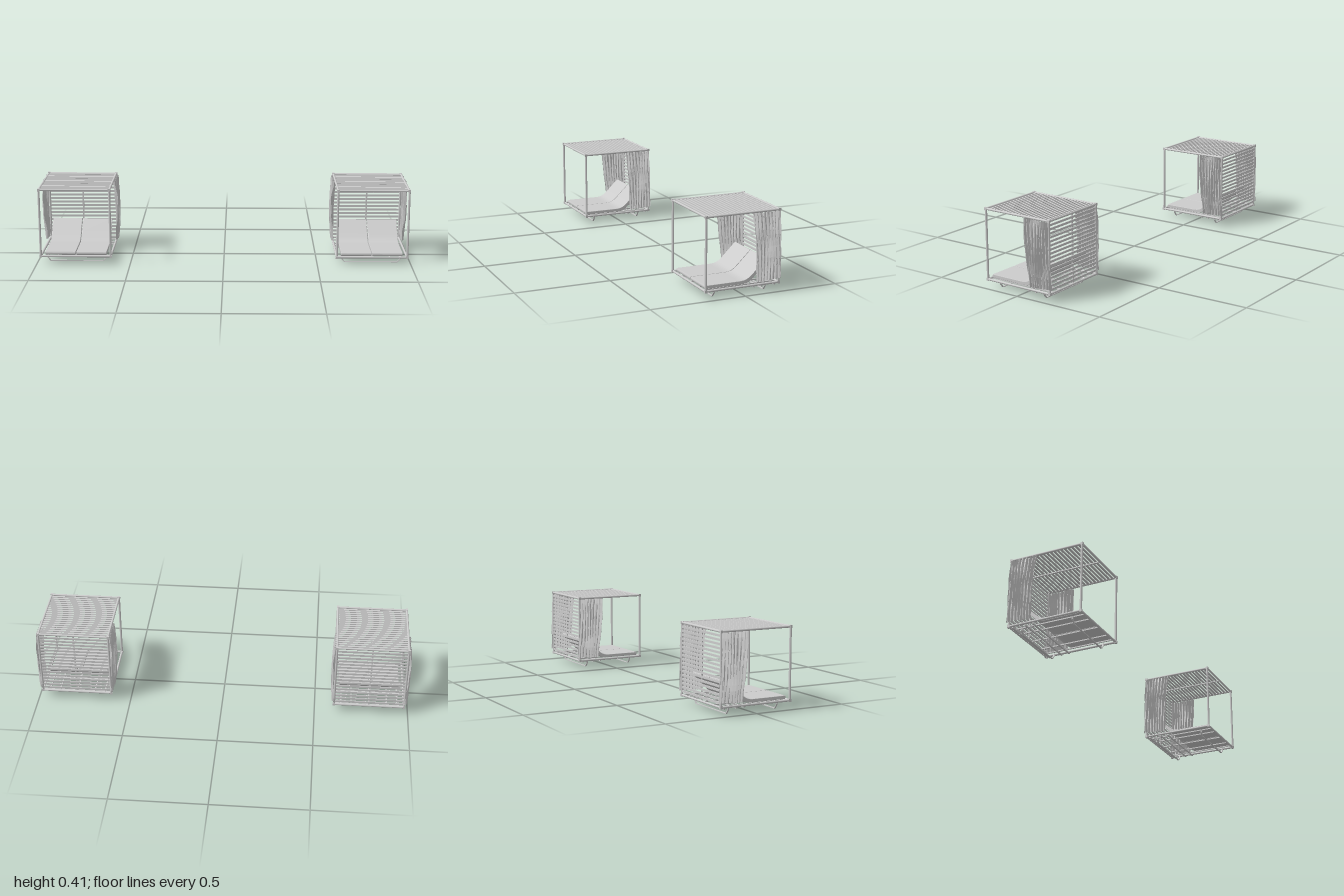
import * as THREE from 'three';

const grey = new THREE.MeshStandardMaterial({ color: 0xcccccc });
const cloth = new THREE.MeshStandardMaterial({ color: 0xcccccc, flatShading: true, side: THREE.DoubleSide });

// Cabin extents (local x, world y and z)
const X = 0.187, Y0 = 0.043, Y1 = 0.407, Z0 = -0.189, Z1 = 0.203;
const R = 0.006;

function add(parent, name, geometry, x = 0, y = 0, z = 0, material = grey) {
  const mesh = new THREE.Mesh(geometry, material);
  mesh.name = name;
  mesh.position.set(x, y, z);
  parent.add(mesh);
  return mesh;
}

function box(parent, name, w, h, d, x, y, z) {
  return add(parent, name, new THREE.BoxGeometry(w, h, d), x, y, z);
}

// Round tube between two points
function rod(parent, name, a, b, radius = R) {
  const from = new THREE.Vector3(...a), to = new THREE.Vector3(...b);
  const dir = to.clone().sub(from);
  const mesh = add(parent, name, new THREE.CylinderGeometry(radius, radius, dir.length(), 12));
  mesh.position.copy(from).lerp(to, 0.5);
  mesh.quaternion.setFromUnitVectors(new THREE.Vector3(0, 1, 0), dir.normalize());
}

function buildFrame() {
  const frame = new THREE.Group();
  frame.name = 'frame';
  for (const x of [-X, X]) {
    for (const z of [Z0, Z1]) rod(frame, 'post', [x, Y0, z], [x, Y1, z]);
    for (const y of [Y0, Y1]) rod(frame, 'sideRail', [x, y, Z0], [x, y, Z1]);
  }
  for (const y of [Y0, Y1]) {
    for (const z of [Z0, Z1]) {
      rod(frame, 'crossRail', [-X, y, z], [X, y, z]);
      for (const x of [-X, X]) box(frame, 'cornerJoint', 0.013, 0.014, 0.013, x, y, z);
    }
  }
  return frame;
}

function buildSlats() {
  const slats = new THREE.Group();
  slats.name = 'slats';
  const roofCount = 19, wallCount = 17;
  for (let i = 1; i <= roofCount; i++) {
    const z = Z0 + (Z1 - Z0) * i / (roofCount + 1);
    box(slats, 'roofSlat', 2 * X, 0.005, 0.011, 0, Y1, z);
  }
  for (let i = 1; i <= wallCount; i++) {
    const y = Y0 + (Y1 - Y0) * i / (wallCount + 1);
    box(slats, 'backSlat', 2 * X, 0.011, 0.005, 0, y, Z0);
  }
  // Centre battens
  box(slats, 'roofBatten', 0.008, 0.006, Z1 - Z0, 0, Y1 - 0.005, (Z0 + Z1) / 2);
  box(slats, 'backBatten', 0.008, Y1 - Y0, 0.006, 0, (Y0 + Y1) / 2, Z0 + 0.005);
  return slats;
}

function buildFloor() {
  const floor = new THREE.Group();
  floor.name = 'floor';
  for (const x of [-0.15, -0.095, 0, 0.095, 0.15]) {
    box(floor, 'floorBeam', 0.007, 0.006, Z1 - Z0, x, 0.04, (Z0 + Z1) / 2);
  }
  for (const z of [-0.057, -0.1, -0.169]) {
    box(floor, 'floorCrossbar', 2 * X, 0.006, 0.007, 0, 0.034, z);
  }
  // Bent strip runners
  const runner = new THREE.Shape([
    [-0.165, 0.038], [-0.162, 0.022], [-0.144, 0], [0.144, 0], [0.162, 0.022], [0.165, 0.038],
    [0.161, 0.038], [0.158, 0.023], [0.142, 0.004], [-0.142, 0.004], [-0.158, 0.023], [-0.161, 0.038],
  ].map(p => new THREE.Vector2(...p)));
  for (const z of [0.146, -0.131]) {
    add(floor, 'runner', new THREE.ExtrudeGeometry(runner, { depth: 0.008, bevelEnabled: false }), 0, 0, z - 0.004);
  }
  return floor;
}

// Lounge pad: side profile swept across its width
function buildPad(x) {
  const s = new THREE.Shape();
  s.moveTo(-0.192, 0.047);
  s.lineTo(0.005, 0.047);
  s.bezierCurveTo(0.045, 0.047, 0.05, 0.06, 0.075, 0.083);
  s.lineTo(0.14, 0.148);
  s.quadraticCurveTo(0.143, 0.162, 0.132, 0.163);
  s.lineTo(0.07, 0.103);
  s.bezierCurveTo(0.04, 0.075, 0.03, 0.065, -0.01, 0.064);
  s.lineTo(-0.192, 0.064);
  s.quadraticCurveTo(-0.198, 0.055, -0.192, 0.047);
  const width = 0.162, bevel = 0.002;
  const geo = new THREE.ExtrudeGeometry(s, {
    depth: width - 2 * bevel, bevelThickness: bevel, bevelSize: bevel, bevelOffset: -bevel, bevelSegments: 2, curveSegments: 10,
  });
  geo.translate(0, 0, -width / 2 + bevel);
  geo.rotateY(Math.PI / 2);
  const pad = new THREE.Mesh(geo, grey);
  pad.name = 'loungePad';
  pad.position.x = x;
  return pad;
}

// Gathered curtain: a pleated sheet hanging at one side
function buildCurtain(side) {
  const nu = 44, nv = 12;
  const geo = new THREE.PlaneGeometry(1, 1, nu, nv);
  const pos = geo.attributes.position;
  for (let i = 0; i < pos.count; i++) {
    const u = pos.getX(i) + 0.5, v = 0.5 - pos.getY(i);
    const wobble = 0.9 * Math.sin(5 * v + 7 * u) + 0.4 * Math.sin(17 * v + 3 * side);
    const fold = Math.sin(u * Math.PI * 16 + wobble) * (0.008 + 0.002 * Math.sin(9 * u + 4 * v));
    const front = -0.042 - 0.028 * v, back = -0.188 - 0.015 * v;
    const z = front + (back - front) * u + 0.003 * Math.sin(u * 50 + v * 8) * Math.sin(Math.PI * u);
    const y = 0.402 - v * (0.344 - 0.008 * u);
    const x = 0.188 + 0.012 * Math.sin(Math.PI * Math.min(1, 0.1 + v * 0.75)) + fold;
    pos.setXYZ(i, side * x, y, z);
  }
  geo.computeVertexNormals();
  const curtain = new THREE.Mesh(geo, cloth);
  curtain.name = side > 0 ? 'leftCurtain' : 'rightCurtain';
  return curtain;
}

function buildCabana(name, x) {
  const cabana = new THREE.Group();
  cabana.name = name;
  cabana.add(buildFrame(), buildSlats(), buildFloor());
  for (const side of [-1, 1]) cabana.add(buildPad(side * 0.083), buildCurtain(side));
  cabana.position.x = x;
  return cabana;
}

export function createModel() {
  const model = new THREE.Group();
  model.name = 'cabanaPair';
  model.add(buildCabana('leftCabana', 0.791), buildCabana('rightCabana', -0.791));
  return model;
}
